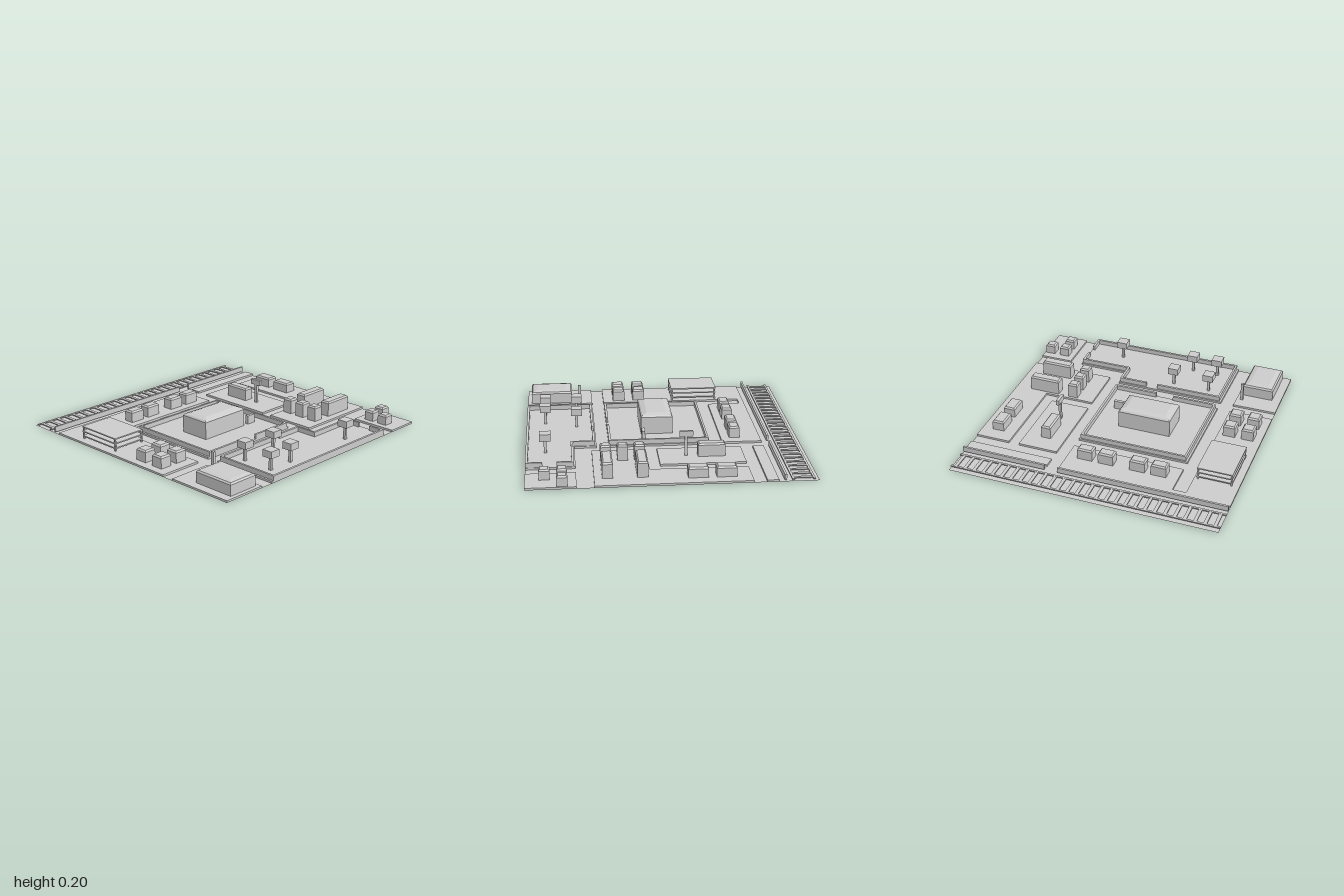
import * as THREE from 'three';

const mat = new THREE.MeshStandardMaterial({ color: 0xcccccc, flatShading: true, side: THREE.DoubleSide });
const CURB = 0.015;

export function createModel() {
  const model = new THREE.Group();

  // box given by its limits in x, z and y
  function box(name, x0, x1, z0, z1, y0, y1, parent = model) {
    const m = new THREE.Mesh(new THREE.BoxGeometry(x1 - x0, y1 - y0, z1 - z0), mat);
    m.position.set((x0 + x1) / 2, (y0 + y1) / 2, (z0 + z1) / 2);
    m.name = name;
    parent.add(m);
    return m;
  }

  // block whose roof steps inward: rings of [inset, height]
  function building(name, x0, x1, z0, z1, h, crown = 0) {
    const rings = [[0, CURB], [0, h - 0.012 - crown], [0.01, h - crown]];
    if (crown) rings.push([0.045, h]);
    const pos = [], idx = [];
    for (const [d, y] of rings)
      pos.push(x0 + d, y, z1 - d, x1 - d, y, z1 - d, x1 - d, y, z0 + d, x0 + d, y, z0 + d);
    for (let r = 0; r < rings.length - 1; r++)
      for (let i = 0; i < 4; i++) {
        const a = r * 4 + i, b = r * 4 + (i + 1) % 4;
        idx.push(a, b, b + 4, a, b + 4, a + 4);
      }
    const t = (rings.length - 1) * 4;
    idx.push(t, t + 1, t + 2, t, t + 2, t + 3);
    const g = new THREE.BufferGeometry();
    g.setAttribute('position', new THREE.Float32BufferAttribute(pos, 3));
    g.setIndex(idx);
    const flat = g.toNonIndexed();
    flat.computeVertexNormals();
    const m = new THREE.Mesh(flat, mat);
    m.name = name;
    model.add(m);
  }

  // ground sheet, also the road surface
  const ground = new THREE.Mesh(new THREE.PlaneGeometry(2, 2), mat);
  ground.rotation.x = -Math.PI / 2;
  ground.name = 'ground';
  model.add(ground);

  // raised city blocks; the gaps between them are the roads
  const blocks = [
    [-0.72, -0.64, -1, -0.36], [-0.55, 0.53, -1, -0.74], [-0.55, 0.06, -0.66, -0.36],
    [0.14, 0.53, -0.74, -0.36], [0.65, 1, -1, -0.75], [0.65, 1, -0.65, -0.27],
    [-0.72, -0.43, -0.27, 0.57], [-0.34, 0.4, -0.27, 0.57], [0.49, 1, -0.27, 0.57],
    [-0.72, -0.68, 0.57, 0.67], [-0.72, 0.4, 0.67, 1], [0.49, 1, 0.67, 1],
  ];
  for (const b of blocks) box('cityBlock', ...b, 0, CURB);

  // railway: two rails with sleepers between
  const railway = new THREE.Group();
  railway.name = 'railway';
  model.add(railway);
  for (const x of [-0.97, -0.825]) box('rail', x, x + 0.015, -1, 1, 0.01, 0.018, railway);
  const sleepers = 28;
  for (let i = 0; i < sleepers; i++) {
    const z = -1 + (i + 0.5) * 2 / sleepers;
    box('sleeper', -0.96, -0.82, z - 0.012, z + 0.012, 0.01, 0.017, railway);
  }
  for (const [z0, z1] of [[-1, -0.36], [-0.26, 1]]) box('railwayWall', -0.773, -0.758, z0, z1, 0.01, 0.05);

  // wall around the central compound, with a gate on the +x side
  const compoundWalls = [
    [-0.33, -0.315, -0.26, 0.555], [-0.33, 0.4, -0.26, -0.243], [-0.33, 0.4, 0.54, 0.555],
    [0.383, 0.4, -0.26, 0.08], [0.383, 0.4, 0.215, 0.555],
  ];
  for (const w of compoundWalls) box('compoundWall', ...w, CURB, 0.05);

  // wall around the park, with two gates
  const parkWalls = [
    [0.5, 0.517, -0.26, -0.045], [0.5, 0.517, 0.045, 0.555], [0.5, 1, 0.54, 0.555],
    [0.983, 1, -0.64, 0.555], [0.88, 1, -0.645, -0.628], [0.66, 0.78, -0.645, -0.628],
    [0.66, 0.677, -0.645, -0.245], [0.5, 0.677, -0.262, -0.245],
  ];
  for (const w of parkWalls) box('parkWall', ...w, CURB, 0.05);

  // large buildings
  building('mainHall', -0.085, 0.15, -0.055, 0.345, 0.168, 0.012);
  building('warehouse', 0.65, 0.97, 0.7, 0.935, 0.113, 0.008);
  building('office', -0.415, -0.22, -0.54, -0.465, 0.112);
  for (const x of [-0.445, -0.25]) building('shop', x, x + 0.14, -0.92, -0.83, 0.09);
  for (const x of [0.16, 0.4]) building('apartmentRow', x, x + 0.075, -0.88, -0.645, 0.128);

  // houses
  for (const x of [0.16, 0.28, 0.4]) building('townhouse', x, x + 0.075, -0.565, -0.49, 0.128);
  for (const z of [-0.19, -0.03, 0.21, 0.37]) building('railwayHouse', -0.57, -0.492, z, z + 0.115, 0.1);
  for (const x of [0.07, 0.23])
    for (const z of [0.71, 0.85]) building('frontHouse', x, x + 0.092, z, z + 0.092, 0.102);
  for (const [x, z] of [[0.71, -0.99], [0.71, -0.87], [0.83, -0.87]])
    building('cornerHouse', x, x + 0.075, z, z + 0.075, 0.09);

  // open parking deck: slabs on corner columns
  const deck = new THREE.Group();
  deck.name = 'parkingDeck';
  model.add(deck);
  for (const y of [0.032, 0.067, 0.102]) box('deckSlab', -0.505, -0.145, 0.69, 0.95, y, y + 0.009, deck);
  for (const x of [-0.503, -0.157])
    for (const z of [0.692, 0.938]) box('deckColumn', x, x + 0.01, z, z + 0.01, CURB, 0.105, deck);

  // park trees with square crowns
  for (const [x, z] of [[0.86, -0.37], [0.625, 0.145], [0.86, 0.23], [0.62, 0.43], [0.86, 0.43]]) {
    const tree = new THREE.Group();
    tree.name = 'tree';
    box('trunk', -0.01, 0.01, -0.01, 0.01, CURB, 0.12, tree);
    box('crown', -0.04, 0.04, -0.04, 0.04, 0.115, 0.167, tree);
    tree.position.set(x, 0, z);
    model.add(tree);
  }

  // billboard, street post and compound kiosk
  box('billboardPost', -0.148, -0.127, -0.512, -0.493, CURB, 0.17);
  box('billboardPanel', -0.187, -0.09, -0.514, -0.491, 0.16, 0.2);
  box('streetPost', 0.578, 0.6, 0.7, 0.72, CURB, 0.155);
  box('kiosk', 0.128, 0.152, -0.172, -0.098, CURB, 0.08);

  return model;
}
